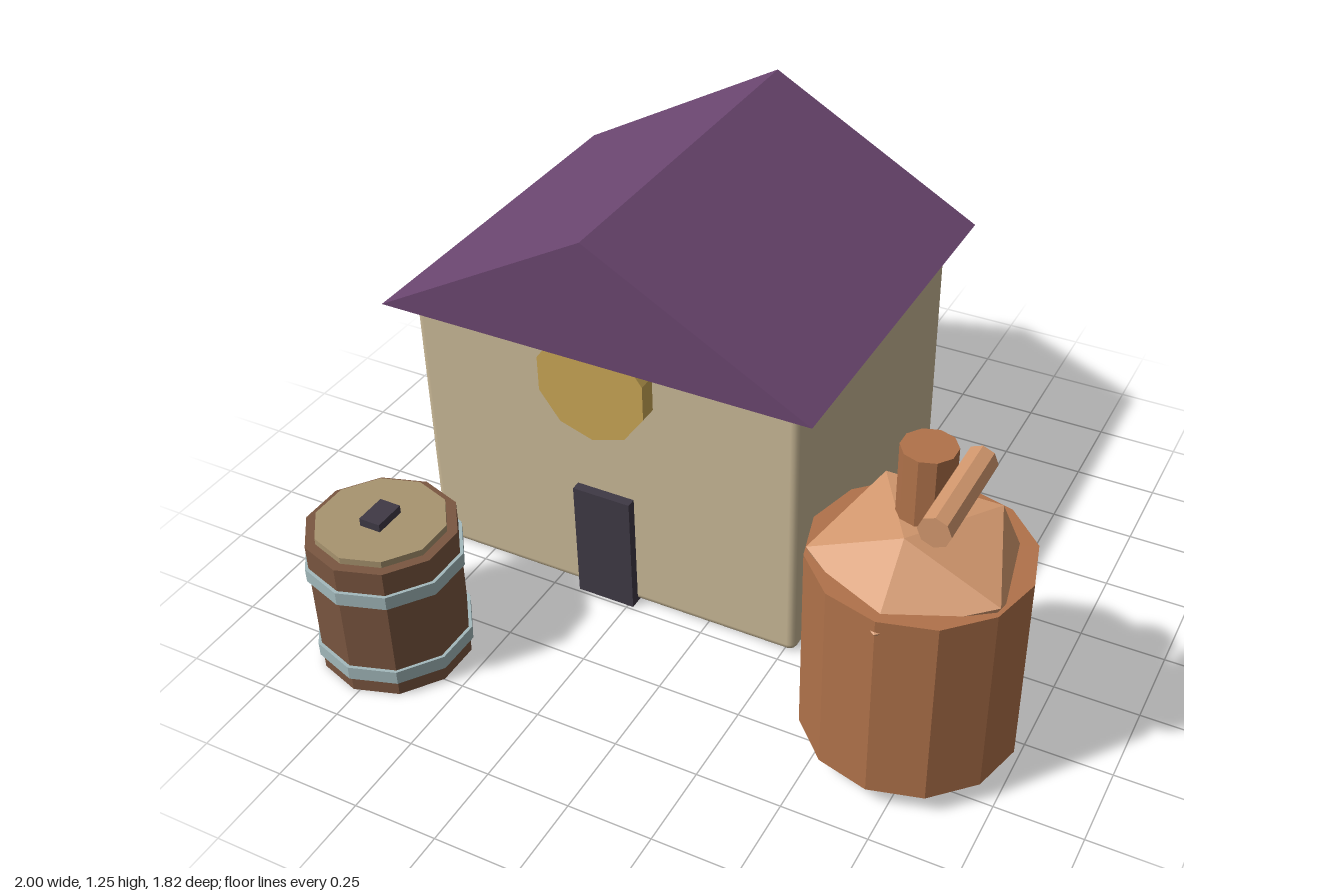
import * as THREE from 'three';
import { RoundedBoxGeometry } from 'three/addons/geometries/RoundedBoxGeometry.js';

const mat = (name, color, flatShading = true) => {
  const m = new THREE.MeshStandardMaterial({ color, flatShading });
  m.name = name;
  return m;
};

export function createModel() {
  const M = {
    wall: mat('plaster', 0xc9b896, false),
    roof: mat('purple roof', 0x6b4670),
    gold: mat('gold', 0xc9a655),
    dark: mat('dark iron', 0x3f3945),
    copper: mat('copper', 0xb0724a),
    paleCopper: mat('pale copper', 0xd3986e),
    wood: mat('barrel wood', 0x7a5640),
    band: mat('steel band', 0xa3b9bc),
    lid: mat('lid wood', 0xa8946f),
  };

  const add = (parent, name, geometry, material, x, y, z) => {
    const mesh = new THREE.Mesh(geometry, material);
    mesh.name = name;
    mesh.position.set(x, y, z);
    parent.add(mesh);
    return mesh;
  };
  const group = (name, x = 0, z = 0) => {
    const g = new THREE.Group();
    g.name = name;
    g.position.set(x, 0, z);
    return g;
  };
  // Upright prism between two heights
  const drum = (parent, name, material, r, y0, y1, sides, x = 0, z = 0) =>
    add(parent, name, new THREE.CylinderGeometry(r, r, y1 - y0, sides), material, x, (y0 + y1) / 2, z);
  const box = (parent, name, material, w, h, d, x, y, z) =>
    add(parent, name, new THREE.BoxGeometry(w, h, d), material, x, y, z);

  const model = group('distillery');

  // House: softly edged walls, gabled roof, round sign, door and side window
  const house = group('house', -0.325, -0.32);
  add(house, 'walls', new RoundedBoxGeometry(1.22, 0.87, 1.06, 2, 0.025), M.wall, 0, 0.437, 0);
  const gable = new THREE.Shape([
    new THREE.Vector2(-0.675, 0.87),
    new THREE.Vector2(0.675, 0.87),
    new THREE.Vector2(0, 1.245),
  ]);
  add(house, 'roof', new THREE.ExtrudeGeometry(gable, { depth: 1.19, bevelEnabled: false }), M.roof, 0, 0, -0.595);
  const sign = add(house, 'sign', new THREE.CylinderGeometry(0.175, 0.175, 0.06, 10), M.gold, 0, 0.78, 0.555);
  sign.rotation.x = Math.PI / 2;
  box(house, 'door', M.dark, 0.185, 0.385, 0.05, 0, 0.1925, 0.535);
  box(house, 'window', M.gold, 0.05, 0.2, 0.17, -0.61, 0.38, 0);
  model.add(house);

  // Barrel with two hoops, inset lid and handle
  const barrel = group('barrel', -0.768, 0.68);
  drum(barrel, 'staves', M.wood, 0.218, 0, 0.44, 10);
  for (const y of [0.07, 0.345]) drum(barrel, 'hoop', M.band, 0.228, y - 0.021, y + 0.021, 10);
  drum(barrel, 'lid', M.lid, 0.188, 0.42, 0.46, 10);
  box(barrel, 'handle', M.dark, 0.066, 0.035, 0.098, 0, 0.467, 0);
  model.add(barrel);

  // Still: kettle on two feet
  const still = group('still', 0.697, 0.35);
  drum(still, 'kettle', M.copper, 0.302, 0.065, 0.65, 12);
  for (const s of [-1, 1]) drum(still, 'foot', M.dark, 0.04, 0, 0.1, 8, s * 0.2);

  // Faceted dome: flattened icosahedron standing on one corner, a ridge towards +x
  const dome = new THREE.IcosahedronGeometry(1, 0);
  const t = (1 + Math.sqrt(5)) / 2;
  const tip = new THREE.Vector3(0, t, 1).normalize();
  dome.applyQuaternion(new THREE.Quaternion().setFromUnitVectors(tip, new THREE.Vector3(0, 1, 0)));
  const p = dome.attributes.position;
  for (let i = 0; i < p.count; i++) {
    if (p.getY(i) > 0.3 && p.getY(i) < 0.6) {
      dome.rotateY(Math.atan2(p.getZ(i), p.getX(i)));
      break;
    }
  }
  dome.scale(0.307, 0.2, 0.307);
  dome.computeVertexNormals();
  add(still, 'dome', dome, M.paleCopper, 0, 0.611, 0);

  // Chimney and side spout
  drum(still, 'chimney', M.copper, 0.074, 0.68, 0.98, 10);
  const spout = add(still, 'spout', new THREE.CylinderGeometry(0.043, 0.043, 0.31, 8), M.paleCopper, 0.133, 0.98, 0.152);
  spout.rotation.x = Math.PI / 2;
  model.add(still);

  return model;
}
